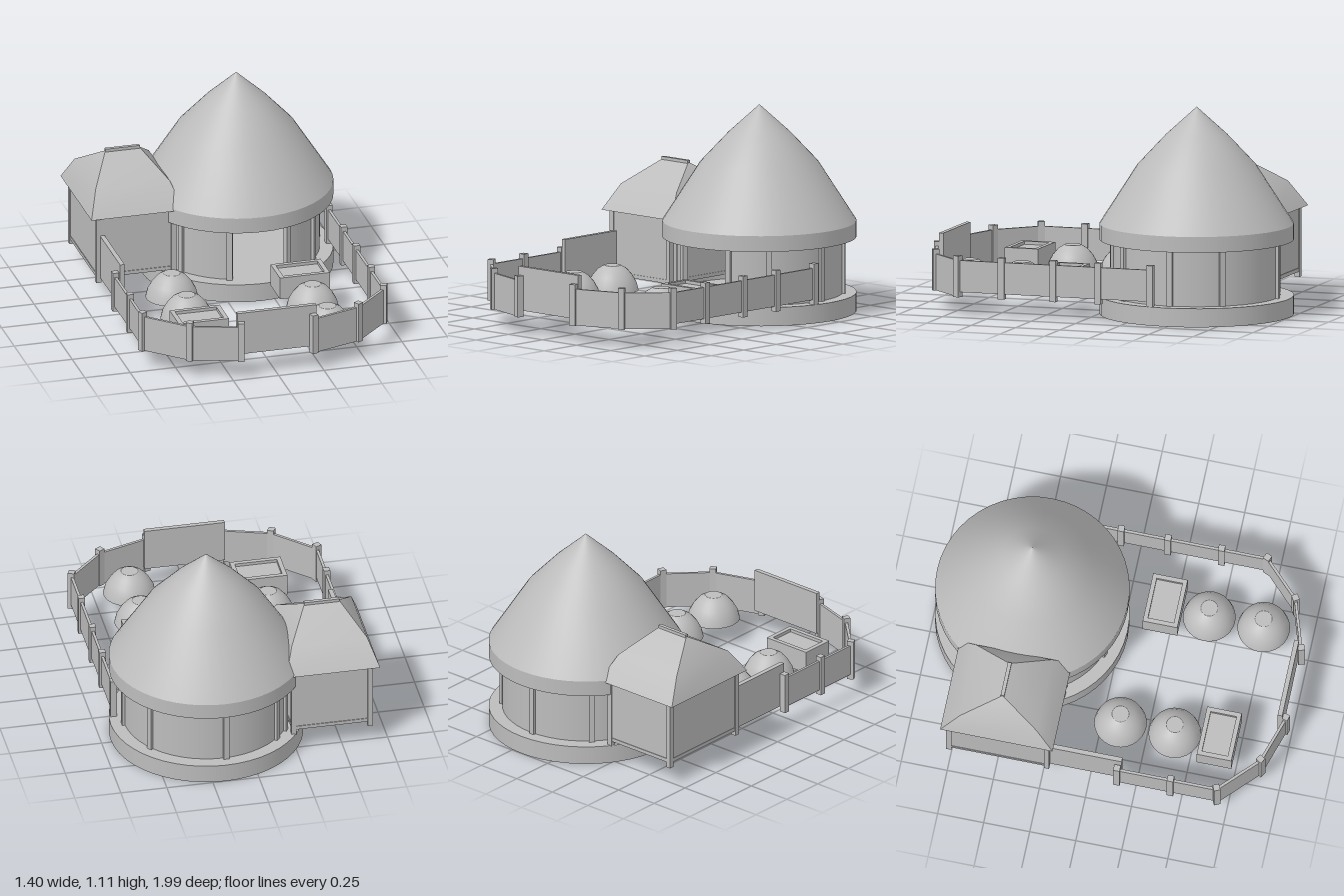
import * as THREE from 'three';

export function createModel() {
  const model = new THREE.Group();
  const clay = new THREE.MeshStandardMaterial({ color: 0xbcbcbc, side: THREE.DoubleSide });
  clay.name = 'plain grey';

  const add = (name, geometry, x = 0, y = 0, z = 0, turn = 0) => {
    const mesh = new THREE.Mesh(geometry, clay);
    mesh.name = name;
    mesh.position.set(x, y, z);
    mesh.rotation.y = turn;
    model.add(mesh);
    return mesh;
  };
  // Box given by its footprint centre and its bottom and top heights
  const block = (name, x, z, w, d, y0, y1, turn = 0) =>
    add(name, new THREE.BoxGeometry(w, y1 - y0, d), x, (y0 + y1) / 2, z, turn);
  const lathe = (points, segments) =>
    new THREE.LatheGeometry(points.map(([r, y]) => new THREE.Vector2(r, y)), segments);
  const rad = THREE.MathUtils.degToRad;

  // Round house: hollow plinth with a floor, wall with an open doorway, posts
  const hx = 0.18, hz = -0.482, outerR = 0.517, wallR = 0.445;
  add('plinthSide', new THREE.CylinderGeometry(outerR, outerR, 0.1, 48, 1, true), hx, 0.05, hz);
  add('floor', new THREE.CircleGeometry(outerR, 48).rotateX(-Math.PI / 2), hx, 0.1, hz);
  add('houseWall', new THREE.CylinderGeometry(wallR, wallR, 0.4, 44, 1, true, rad(21), rad(318)),
    hx, 0.3, hz);
  for (const degrees of [-56, -20, 22, 50, 91, 127, 182, 225, 238]) {
    const a = rad(degrees);
    block('housePost', hx + Math.sin(a) * wallR, hz + Math.cos(a) * wallR, 0.03, 0.03, 0.1, 0.49, a);
  }

  // Round roof, open underneath: straight eave band and curved thatch
  add('eaveBand', new THREE.CylinderGeometry(outerR, outerR, 0.085, 48, 1, true), hx, 0.4425, hz);
  add('thatchRoof', lathe([[outerR, 0.485], [0.315, 0.8], [0.165, 0.96], [0, 1.11]], 48), hx, 0, hz);

  // Side room: thin walls, rails, corner posts
  const ax = -0.445, az = -0.494, halfW = 0.207, halfD = 0.265;
  for (const s of [-1, 1]) {
    block('roomSideWall', ax + s * halfW, az, 0.015, halfD * 2, 0.13, 0.48);
    block('roomEndWall', ax, az + s * halfD, halfW * 2, 0.015, 0.13, 0.48);
    block('roomSideRail', ax + s * halfW, az, 0.022, halfD * 2, 0.125, 0.145);
    block('roomEndRail', ax, az + s * halfD, halfW * 2, 0.022, 0.125, 0.145);
    for (const t of [-1, 1])
      block('roomPost', ax + s * halfW, az + t * halfD, 0.028, 0.028, 0.097, 0.48);
  }

  // Hipped side roof: four slopes, steeper at the eave, each smooth along its height
  const levels = [[0.255, 0.305, 0.475], [0.205, 0.208, 0.61], [0.095, 0.004, 0.732]];
  const cornerSigns = [[-1, 1], [1, 1], [1, -1], [-1, -1]];
  cornerSigns.forEach((from, i) => {
    const to = cornerSigns[(i + 1) % 4];
    const points = levels.flatMap(([w, d, y]) =>
      [from, to].flatMap(([sx, sz]) => [sx * w, y, sz * d]));
    const slope = new THREE.BufferGeometry();
    slope.setAttribute('position', new THREE.Float32BufferAttribute(points, 3));
    slope.setIndex([0, 1, 3, 0, 3, 2, 2, 3, 5, 2, 5, 4]);
    slope.computeVertexNormals();
    add('roomRoofSlope', slope, ax, 0, az);
  });
  block('ridgeCap', ax, az, 0.19, 0.02, 0.725, 0.745);

  // Fence runs: posts joined by thin panels
  const fence = (points) => points.forEach(([x, z], i) => {
    const [px, pz] = points[Math.max(i - 1, 0)];
    const [nx, nz] = points[Math.min(i + 1, points.length - 1)];
    block('fencePost', x, z, 0.035, 0.035, 0.098, 0.32, Math.atan2(pz - nz, nx - px));
    if (i === points.length - 1) return;
    const bottom = Math.abs(nx - x) > 0.01 ? 0.1 : 0.125;
    block('fencePanel', (x + nx) / 2, (z + nz) / 2, Math.hypot(nx - x, nz - z), 0.015, bottom, 0.295,
      Math.atan2(z - nz, nx - x));
  });
  fence([[-0.2, 0.973], [-0.46, 0.891], [-0.666, 0.694], [-0.666, 0.445], [-0.666, 0.154]]);
  fence([[0.202, 0.973], [0.472, 0.886], [0.665, 0.694], [0.665, 0.445], [0.665, 0.154],
    [0.665, -0.1], [0.665, -0.392]]);
  block('gate', 0.002, 0.945, 0.436, 0.025, 0.13, 0.367);
  block('sideScreen', -0.632, -0.03, 0.025, 0.41, 0.125, 0.367);

  // Garden mounds, open underneath
  for (const [x, z] of [[-0.34, 0.105], [-0.34, 0.4], [0.342, 0.445], [0.342, 0.74]]) {
    add('mound', lathe([[0.14, 0.12], [0.13, 0.16], [0.108, 0.2], [0.078, 0.235], [0.045, 0.255]], 28),
      x, 0, z);
    add('moundTop', new THREE.CircleGeometry(0.045, 28).rotateX(-Math.PI / 2), x, 0.255, z);
  }

  // Garden trays: solid body with a raised rim
  for (const [x, z] of [[-0.338, 0.641], [0.341, 0.206]]) {
    block('trayBody', x, z, 0.276, 0.188, 0.12, 0.225);
    for (const s of [-1, 1]) {
      block('trayLongRim', x, z + s * 0.082, 0.276, 0.024, 0.225, 0.242);
      block('trayShortRim', x + s * 0.126, z, 0.024, 0.14, 0.225, 0.242);
    }
  }
  return model;
}
